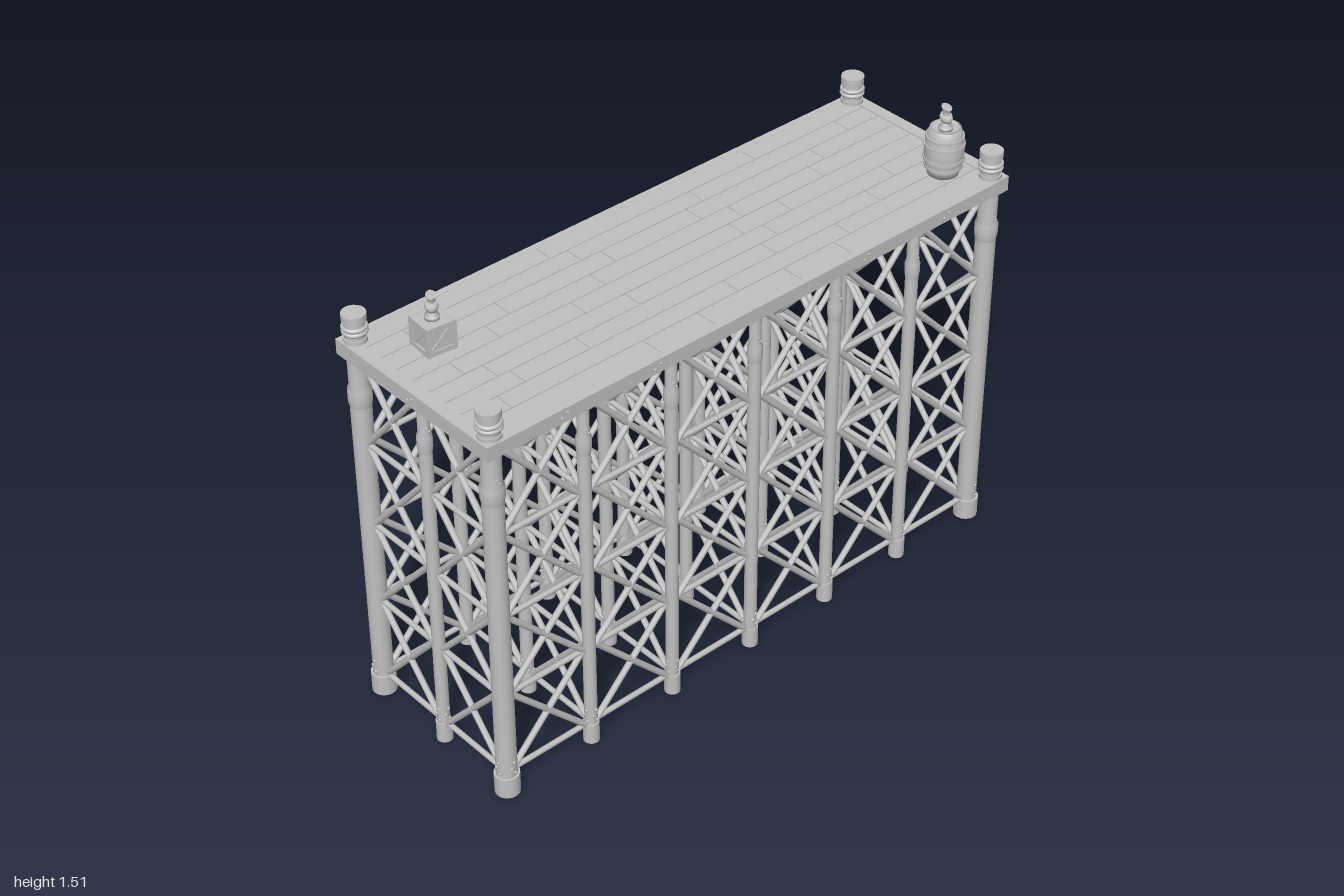
import * as THREE from 'three';

const wood = new THREE.MeshStandardMaterial({ color: 0xc0c0c0 });
wood.name = 'plain grey';

function add(parent, geo, name, x = 0, y = 0, z = 0) {
  const m = new THREE.Mesh(geo, wood);
  m.name = name;
  m.position.set(x, y, z);
  parent.add(m);
  return m;
}
const box = (p, name, w, h, d, x, y, z) => add(p, new THREE.BoxGeometry(w, h, d), name, x, y, z);
const lathe = (pts, n = 16) => new THREE.LatheGeometry(pts.map(([r, y]) => new THREE.Vector2(r, y)), n);

// Round bar between two points
function bar(parent, name, a, b, r) {
  const A = new THREE.Vector3(...a), B = new THREE.Vector3(...b);
  const d = B.clone().sub(A);
  const m = add(parent, new THREE.CylinderGeometry(r, r, d.length(), 8, 1, true), name);
  m.position.copy(A).add(B).multiplyScalar(0.5);
  m.quaternion.setFromUnitVectors(new THREE.Vector3(0, 1, 0), d.normalize());
}

const XS = [-0.955, -0.637, -0.318, 0, 0.318, 0.637, 0.955];
const ZS = [-0.293, 0, 0.293];
const LEVELS = [0.07, 0.36, 0.645, 0.935, 1.235];

// Piles: collar at the foot, sleeve near the top
function pile(parent, x, z, corner) {
  const k = corner ? 1 : 0;
  const foot = k ? 0.039 : 0.025, shaft = k ? 0.032 : 0.02;
  const sleeve = k ? 0.036 : 0.023, neck = k ? 0.03 : 0.018;
  const g = new THREE.Group();
  g.name = k ? 'cornerPile' : 'pile';
  g.position.set(x, 0, z);
  add(g, new THREE.CylinderGeometry(foot, foot, 0.07, 16), 'foot', 0, 0.035, 0);
  add(g, new THREE.CylinderGeometry(shaft, shaft, 1.02, 16, 1, true), 'shaft', 0, 0.57, 0);
  add(g, lathe([[shaft, 1.065], [sleeve, 1.085], [sleeve, 1.12], [neck, 1.135], [neck, 1.25]]), 'sleeve');
  // Nail heads at foot and neck
  const sx = Math.sign(x) || 1, sz = Math.sign(z) || 1;
  for (const [y, o] of [[0.085, 0.008], [0.105, -0.006], [0.125, 0.004]]) {
    add(g, new THREE.SphereGeometry(0.005, 6, 5), 'nail', o, y, sz * shaft);
    add(g, new THREE.SphereGeometry(0.005, 6, 5), 'nail', sx * shaft, y, o);
  }
  for (const [y, o] of [[1.14, 0.005], [1.155, -0.005]])
    add(g, new THREE.SphereGeometry(0.004, 6, 5), 'nail', o, y, sz * neck);
  // Bollard above the deck with rope rings
  if (corner) {
    add(g, new THREE.CylinderGeometry(0.031, 0.031, 0.1, 20), 'bollard', 0, 1.315, 0);
    add(g, new THREE.CylinderGeometry(0.036, 0.036, 0.022, 20), 'bollardTop', 0, 1.364, 0);
    for (const y of [1.317, 1.332])
      add(g, new THREE.TorusGeometry(0.032, 0.007, 8, 20), 'rope', 0, y, 0).rotation.x = Math.PI / 2;
    add(g, new THREE.CylinderGeometry(0.035, 0.035, 0.012, 20), 'bollardBase', 0, 1.291, 0);
  }
  parent.add(g);
}

// Bay of stacked crosses between two piles
function bay(parent, [x0, z0], [x1, z1]) {
  for (let i = 0; i < 4; i++) {
    const lo = LEVELS[i], hi = LEVELS[i + 1];
    bar(parent, 'rail', [x0, lo, z0], [x1, lo, z1], 0.009);
    // Braces stop at the pile faces
    const t = 0.07, mx = (x1 - x0) * t, mz = (z1 - z0) * t;
    bar(parent, 'brace', [x0 + mx, lo, z0 + mz], [x1 - mx, hi, z1 - mz], 0.01);
    bar(parent, 'brace', [x0 + mx, hi, z0 + mz], [x1 - mx, lo, z1 - mz], 0.01);
  }
}

// Small valve-like ornament
function ornament(parent, x, y, z, turn) {
  const g = new THREE.Group();
  g.name = 'ornament';
  g.position.set(x, y, z);
  g.rotation.y = turn;
  add(g, lathe([[0, 0], [0.022, 0], [0.022, 0.01], [0.012, 0.016], [0.014, 0.03], [0, 0.03]], 12), 'base');
  const mid = add(g, lathe([[0, 0.026], [0.024, 0.03], [0.028, 0.04], [0.024, 0.05], [0, 0.052]], 12), 'middle');
  mid.scale.z = 0.7;
  add(g, new THREE.CylinderGeometry(0.01, 0.01, 0.02, 10), 'neck', 0, 0.058, 0);
  add(g, new THREE.CylinderGeometry(0.025, 0.021, 0.011, 12), 'top', 0, 0.07, 0).scale.z = 0.6;
  parent.add(g);
}

function barrel(parent, x, y, z) {
  const g = new THREE.Group();
  g.name = 'barrel';
  g.position.set(x, y, z);
  const bulge = h => 0.048 + 0.013 * (1 - (h / 0.078 - 1) ** 2);
  const pts = [[0, 0]];
  for (let i = 0; i <= 8; i++) pts.push([bulge(i * 0.0195), i * 0.0195]);
  pts.push([0.042, 0.156], [0.042, 0.148], [0, 0.148]);
  add(g, lathe(pts, 18), 'staves');
  for (const h of [0.03, 0.055, 0.101, 0.126]) {
    const r = bulge(h) + 0.003;
    add(g, new THREE.CylinderGeometry(r, r, 0.01, 18), 'hoop', 0, h, 0);
  }
  ornament(g, 0, 0.148, 0, 1.1);
  parent.add(g);
}

function crate(parent, x, y, z) {
  const g = new THREE.Group();
  g.name = 'crate';
  g.position.set(x, y, z);
  g.rotation.y = -0.1;
  box(g, 'crateBox', 0.086, 0.09, 0.086, 0, 0.047, 0);
  // Framed sides with a diagonal slat
  for (let i = 0; i < 4; i++) {
    const s = new THREE.Group();
    s.name = 'crateSide';
    s.rotation.y = i * Math.PI / 2;
    for (const h of [0.008, 0.086]) box(s, 'frameRail', 0.096, 0.015, 0.008, 0, h, 0.044);
    for (const k of [-1, 1]) box(s, 'frameStile', 0.014, 0.094, 0.008, k * 0.041, 0.047, 0.044);
    box(s, 'slat', 0.092, 0.012, 0.006, 0, 0.047, 0.044).rotation.z = Math.PI / 4;
    g.add(s);
  }
  ornament(g, 0, 0.092, 0, 1.1);
  parent.add(g);
}

export function createModel() {
  const root = new THREE.Group();
  root.name = 'pier';

  // Piles and bracing
  for (const x of XS)
    for (const z of ZS) pile(root, x, z, Math.abs(x) > 0.9 && z !== 0);
  for (const z of [ZS[0], ZS[2]])
    for (let i = 0; i < 6; i++) bay(root, [XS[i], z], [XS[i + 1], z]);
  for (const x of XS)
    for (let i = 0; i < 2; i++) bay(root, [x, ZS[i]], [x, ZS[i + 1]]);

  // Deck: base slab and planks laid in staggered rows
  box(root, 'deckSlab', 1.95, 0.03, 0.62, 0, 1.258, 0);
  const edges = [-0.312, -0.245, -0.178, -0.108, -0.038, 0.032, 0.1, 0.168, 0.235, 0.312];
  const joints = [
    [-0.7, -0.3, 0.5], [-0.83, -0.24, 0.23, 0.83], [-0.56, -0.17, 0.16, 0.66],
    [-0.65, -0.27, 0.26, 0.59], [-0.83, -0.4, 0.2, 0.39], [-0.77, -0.26, 0.27, 0.75],
    [-0.73, -0.5, 0.2, 0.62], [-0.83, -0.01, 0.43, 0.83], [-0.37, -0.17, 0.16, 0.36],
  ];
  joints.forEach((row, i) => {
    const cuts = [-0.955, ...row, 0.955];
    for (let j = 0; j + 1 < cuts.length; j++)
      box(root, 'plank', cuts[j + 1] - cuts[j] - 0.003, 0.01, edges[i + 1] - edges[i] - 0.003,
        (cuts[j] + cuts[j + 1]) / 2, 1.277, (edges[i] + edges[i + 1]) / 2);
  });

  // Rim beams with nail clusters
  for (const s of [-1, 1]) {
    box(root, 'longBeam', 1.99, 0.045, 0.022, 0, 1.26, s * 0.321);
    box(root, 'endBeam', 0.04, 0.05, 0.664, s * 0.975, 1.26, 0);
    for (const x of [-0.73, -0.4, 0.4, 0.73])
      for (const o of [-0.01, 0.01])
        add(root, new THREE.SphereGeometry(0.005, 6, 5), 'nail', x + o, 1.26 + o * 0.6, s * 0.332);
    for (const o of [-0.01, 0.01])
      add(root, new THREE.SphereGeometry(0.005, 6, 5), 'nail', s * 0.995, 1.26 + o * 0.6, o);
  }

  barrel(root, 0.87, 1.282, 0.18);
  crate(root, -0.81, 1.282, -0.13);
  return root;
}
